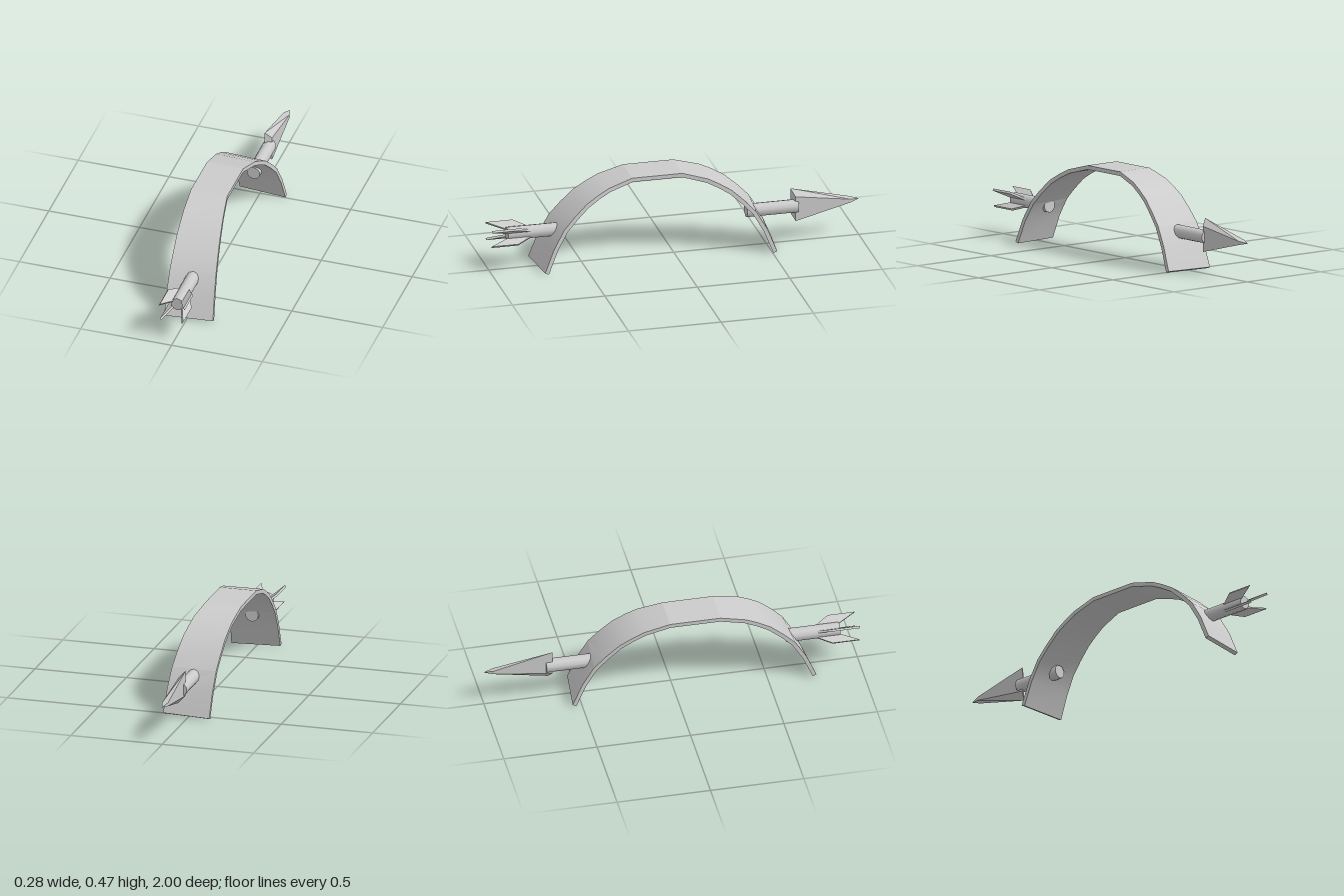
import * as THREE from 'three';
import { toCreasedNormals } from 'three/addons/utils/BufferGeometryUtils.js';

const material = new THREE.MeshStandardMaterial({ color: 0xcccccc });
const SHAFT_Y = 0.2;

function add(group, name, geometry) {
  const mesh = new THREE.Mesh(geometry, material);
  mesh.name = name;
  group.add(mesh);
  return mesh;
}

// Skins four-cornered rings that run from front to back, and caps both ends.
function loft(rings, crease) {
  const index = [];
  const last = (rings.length - 1) * 4;
  for (let i = 0; i < last; i += 4) {
    for (let j = 0; j < 4; j++) {
      const a = i + j, b = i + (j + 1) % 4;
      index.push(a, b, b + 4, a, b + 4, a + 4);
    }
  }
  index.push(0, 2, 1, 0, 3, 2, last, last + 1, last + 2, last, last + 2, last + 3);
  const geometry = new THREE.BufferGeometry();
  geometry.setAttribute('position', new THREE.Float32BufferAttribute(rings.flat(2), 3));
  geometry.setIndex(index);
  return toCreasedNormals(geometry, crease);
}

// Arched strap: half profile of [distance from the middle, height], mirrored.
function bandGeometry() {
  const half = [[0.64, 0.012], [0.588, 0.138], [0.53, 0.237], [0.47, 0.3],
    [0.4, 0.363], [0.335, 0.402], [0.27, 0.434], [0.135, 0.47]];
  const path = [...half, ...half.slice().reverse().map(([u, y]) => [-u, y])];
  const thickness = 0.022;
  const rings = path.map(([u, y], i) => {
    const p = path[Math.max(i - 1, 0)], n = path[Math.min(i + 1, path.length - 1)];
    const du = n[0] - p[0], dy = n[1] - p[1], len = Math.hypot(du, dy);
    const iu = u - dy / len * thickness;
    const iy = Math.max(0, y + du / len * thickness);
    // the sides flare and the ends skew away from the flat crown
    const t = (Math.abs(u) - 0.135) / 0.505;
    const left = -0.14 + 0.02 * t, right = 0.06 + 0.08 * t;
    const skew = Math.sign(u) * 0.013 * t;
    const z = 0.103;
    return [[left, y, z + u + skew], [right, y, z + u - skew],
      [right, iy, z + iu - skew], [left, iy, z + iu + skew]];
  });
  return loft(rings, 0.25);
}

// Slanted slab that narrows to a point.
function headGeometry() {
  const section = [[-0.017, 0.087], [0.017, 0.05], [0.017, -0.087], [-0.017, -0.05]];
  const steps = [[-0.645, 1, 1], [-0.95, 1, 0.14], [-1, 0.02, 0.01]];
  return loft(steps.map(([z, sx, sy]) => section.map(([x, y]) =>
    [x * sx, 0.207 + y * sy, z + (z > -0.7 ? -x * 0.6 : 0)])), 0.1);
}

function shaftGeometry(z0, z1) {
  return new THREE.CylinderGeometry(0.036, 0.036, z1 - z0, 10)
    .rotateX(Math.PI / 2).translate(0, SHAFT_Y, (z0 + z1) / 2);
}

// Swept vane standing out from the shaft.
function finGeometry(reach, angle) {
  const shape = new THREE.Shape([[0.025, 0.765], [reach, 0.855], [reach, 1], [0.025, 0.895]]
    .map(([r, z]) => new THREE.Vector2(r, z)));
  return new THREE.ExtrudeGeometry(shape, { depth: 0.012, bevelEnabled: false })
    .translate(0, 0, -0.006).rotateX(Math.PI / 2).rotateZ(angle)
    .translate(0, SHAFT_Y - 0.003, 0);
}

export function createModel() {
  const model = new THREE.Group();
  model.name = 'arrowHeadband';
  add(model, 'band', bandGeometry());

  const arrow = new THREE.Group();
  arrow.name = 'arrow';
  model.add(arrow);
  add(arrow, 'rearShaft', shaftGeometry(0.618, 0.903));
  add(arrow, 'frontShaft', shaftGeometry(-0.67, -0.39));
  add(arrow, 'arrowhead', headGeometry());

  // four vanes, the upper pair a little longer
  const tilt = 0.61;
  for (const [reach, angle] of [[0.083, tilt], [0.083, Math.PI - tilt],
    [0.073, -tilt], [0.073, Math.PI + tilt]]) {
    add(arrow, 'fin', finGeometry(reach, angle));
  }
  return model;
}
